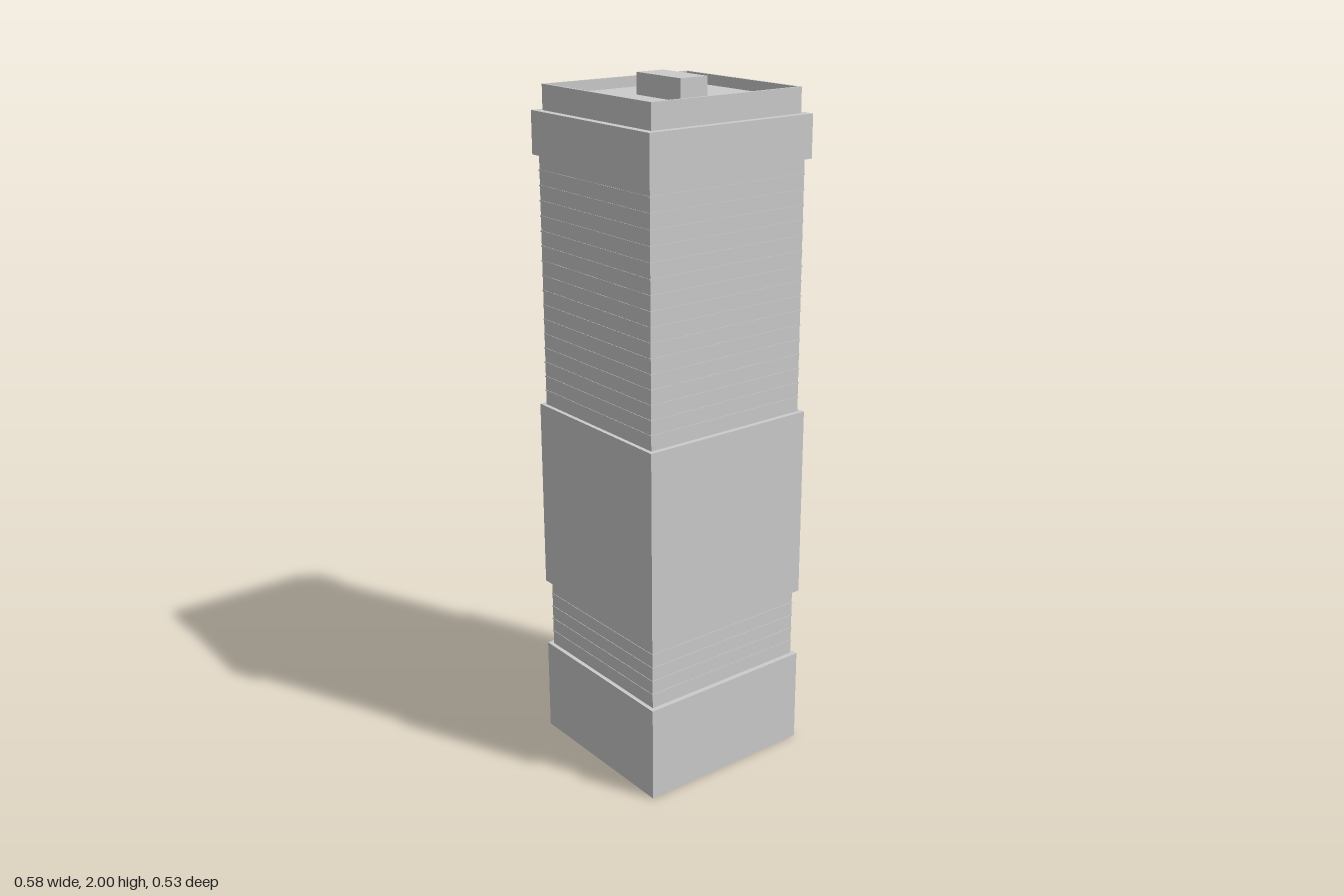
import * as THREE from 'three';

const CX = -0.016; // the tower sits slightly off centre to leave room for the canopy
const mat = new THREE.MeshStandardMaterial({ color: 0xcccccc, flatShading: true, side: THREE.DoubleSide });

function add(parent, name, geometry, x = 0, y = 0, z = 0) {
  const mesh = new THREE.Mesh(geometry, mat);
  mesh.name = name;
  mesh.position.set(x, y, z);
  parent.add(mesh);
  return mesh;
}

// Rectangular shell through levels [halfX, halfZ, y]; skip(level, side) leaves a wall out
function shell(levels, skip = () => false) {
  const corners = [[1, 1], [1, -1], [-1, -1], [-1, 1]]; // side 0 faces +x
  const pos = [];
  for (let i = 0; i < levels.length - 1; i++) {
    for (let s = 0; s < 4; s++) {
      if (skip(i, s)) continue;
      const at = (level, c) => [level[0] * c[0], level[2], level[1] * c[1]];
      const c0 = corners[s], c1 = corners[(s + 1) % 4];
      const a = at(levels[i], c0), b = at(levels[i], c1);
      const c = at(levels[i + 1], c1), d = at(levels[i + 1], c0);
      pos.push(...a, ...b, ...c, ...a, ...c, ...d);
    }
  }
  const g = new THREE.BufferGeometry();
  g.setAttribute('position', new THREE.Float32BufferAttribute(pos, 3));
  g.computeVertexNormals();
  return g;
}

// Shaft levels with thin projecting floor lines
function shaft(y0, y1, storeys) {
  const hx = 0.263, hz = 0.248, lip = 0.0015, t = 0.002;
  const out = [[hx, hz, y0]];
  const step = (y1 - y0) / storeys;
  for (let i = 1; i < storeys; i++) {
    const y = y0 + i * step;
    out.push([hx, hz, y - t], [hx + lip, hz + lip, y - t], [hx + lip, hz + lip, y + t], [hx, hz, y + t]);
  }
  out.push([hx, hz, y1]);
  return out;
}

const band = (y0, y1) => [[0.275, 0.263, y0], [0.275, 0.263, y1]];

export function createModel() {
  const model = new THREE.Group();
  model.name = 'tower';

  // Hollow tower walls: base, shaft, middle band, shaft, crown, parapet and sunken roof
  const levels = [
    ...band(0, 0.285),
    ...shaft(0.285, 0.495, 5),
    ...band(0.495, 1.06),
    ...shaft(1.06, 1.78, 17),
    ...band(1.78, 1.9),
    [0.252, 0.241, 1.9], [0.252, 0.241, 1.97],
    [0.244, 0.233, 1.97], [0.244, 0.233, 1.94], [0, 0, 1.94],
  ];
  add(model, 'towerWalls', shell(levels, (i, s) => i === 0 && s === 0), CX);

  // Entrance wall of the base with a doorway notch
  const doorHalf = 0.105, doorTop = 0.07, depth = 0.012;
  const wall = new THREE.Shape();
  wall.moveTo(-0.263, 0);
  wall.lineTo(-doorHalf, 0);
  wall.lineTo(-doorHalf, doorTop);
  wall.lineTo(doorHalf, doorTop);
  wall.lineTo(doorHalf, 0);
  wall.lineTo(0.263, 0);
  wall.lineTo(0.263, 0.285);
  wall.lineTo(-0.263, 0.285);
  const front = add(model, 'entranceWall',
    new THREE.ExtrudeGeometry(wall, { depth, bevelEnabled: false }), CX + 0.275 - depth);
  front.rotation.y = Math.PI / 2;

  // Recessed doors
  for (const s of [-1, 1]) {
    add(model, 'door', new THREE.BoxGeometry(0.002, doorTop, doorHalf - 0.001),
      CX + 0.275 - depth, doorTop / 2, s * doorHalf / 2);
  }

  // Curved canopy: lower slab with a slightly larger rim on top
  const canopy = new THREE.Group();
  canopy.name = 'canopy';
  model.add(canopy);
  const slab = (name, rx, rz, y, h) => {
    const s = new THREE.Shape();
    s.absellipse(0, 0, rx, rz, -Math.PI / 2, Math.PI / 2, false);
    const g = new THREE.ExtrudeGeometry(s, { depth: h, bevelEnabled: false, curveSegments: 24 });
    g.rotateX(-Math.PI / 2);
    add(canopy, name, g, CX + 0.275, y);
  };
  slab('canopySlab', 0.028, 0.106, 0.068, 0.012);
  slab('canopyRim', 0.031, 0.112, 0.071, 0.006);

  // Plant room on the roof
  add(model, 'plantRoom', new THREE.BoxGeometry(0.091, 0.06, 0.19), -0.0175, 1.97, 0.005);

  return model;
}
